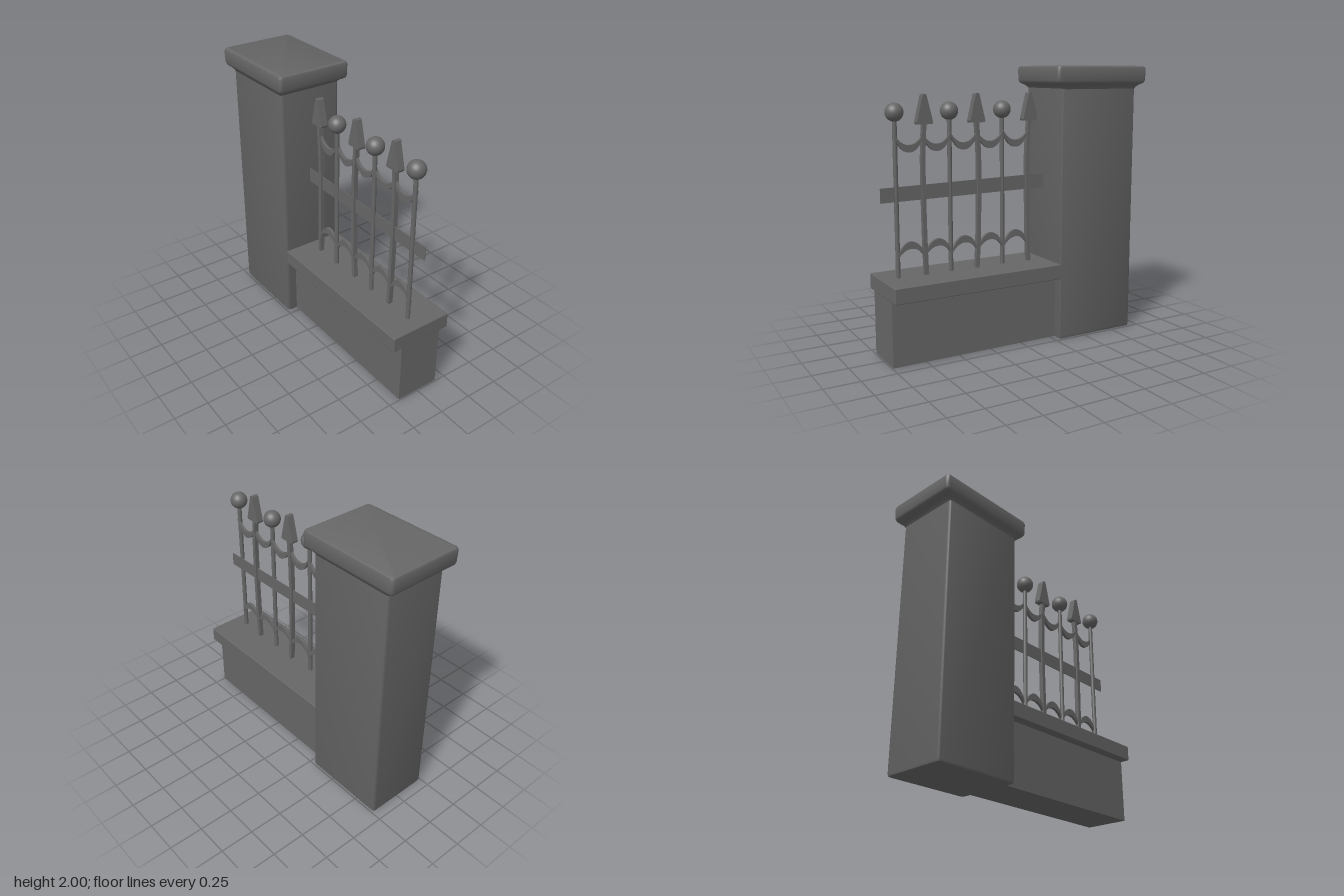
import * as THREE from 'three';
import { toCreasedNormals } from 'three/addons/utils/BufferGeometryUtils.js';
import { RoundedBoxGeometry } from 'three/addons/geometries/RoundedBoxGeometry.js';

const stone = new THREE.MeshStandardMaterial({ color: 0x666666 });
stone.name = 'darkGrey';

function add(parent, name, geometry, x = 0, y = 0, z = 0) {
  const mesh = new THREE.Mesh(geometry, stone);
  mesh.name = name;
  mesh.position.set(x, y, z);
  parent.add(mesh);
  return mesh;
}

// Stacks rounded rectangles; each section is [y, halfWidth, halfDepth, cornerRadius]
function loft(sections) {
  const steps = 4, pos = [], index = [];
  const n = 4 * (steps + 1);
  for (const [y, w, d, r] of sections) {
    for (let c = 0; c < 4; c++) {
      const sx = c === 0 || c === 3 ? 1 : -1, sz = c < 2 ? 1 : -1;
      for (let s = 0; s <= steps; s++) {
        const a = (c + s / steps) * Math.PI / 2;
        pos.push(sx * (w - r) + r * Math.cos(a), y, sz * (d - r) + r * Math.sin(a));
      }
    }
  }
  const last = sections.length - 1;
  for (let i = 0; i < last; i++) {
    for (let j = 0; j < n; j++) {
      const k = (j + 1) % n, a = i * n, b = a + n;
      index.push(a + j, b + j, a + k, a + k, b + j, b + k);
    }
  }
  for (let j = 1; j < n - 1; j++) {
    index.push(0, j, j + 1, last * n, last * n + j + 1, last * n + j);
  }
  const g = new THREE.BufferGeometry();
  g.setAttribute('position', new THREE.Float32BufferAttribute(pos, 3));
  g.setIndex(index);
  return toCreasedNormals(g, 0.7);
}

// Flat outline given a depth, centred on z = 0
function plate(points, depth) {
  const shape = new THREE.Shape(points.map(([x, y]) => new THREE.Vector2(x, y)));
  const g = new THREE.ExtrudeGeometry(shape, { depth, bevelEnabled: false });
  g.translate(0, 0, -depth / 2);
  return toCreasedNormals(g, 0.5);
}

// Scroll strap between two bars: sagging (dir = -1) or arched (dir = 1)
function strap(dir) {
  const outer = [], inner = [];
  for (let i = 0; i <= 14; i++) {
    const t = -1 + i / 7, curve = Math.sqrt(1 - 0.72 * t * t);
    outer.push([t * 0.103, dir * (-0.11 + 0.225 * (curve - 0.51))]);
    inner.push([t * 0.103, dir * (-0.125 + 0.16 * (curve - 0.53))]);
  }
  return plate([...outer, ...inner.reverse()], 0.022);
}

// Gently bowed bar running from the coping to the spear head
function bowedBar(bottom, middle, top) {
  const curve = new THREE.SplineCurve([
    new THREE.Vector2(bottom, 0.56), new THREE.Vector2(bottom + (middle - bottom) * 0.6, 0.76),
    new THREE.Vector2(middle, 1.1), new THREE.Vector2(middle, 1.38),
    new THREE.Vector2(top, 1.62),
  ]);
  const pts = curve.getPoints(16), w = 0.014;
  return plate([
    ...pts.map(p => [p.x + w, p.y]),
    ...pts.reverse().map(p => [p.x - w, p.y]),
  ], 0.034);
}

export function createModel() {
  const model = new THREE.Group();
  model.name = 'fenceSection';

  // Stone pillar with softened edges
  add(model, 'pillar', loft([
    [0, 0.308, 0.226, 0.015], [0.005, 0.318, 0.236, 0.02], [0.018, 0.322, 0.24, 0.02],
    [1.86, 0.322, 0.24, 0.02],
  ]), -0.607);

  // Overhanging cap with a flared underside
  add(model, 'pillarCap', loft([
    [1.835, 0.322, 0.24, 0.02], [1.85, 0.331, 0.247, 0.02], [1.863, 0.35, 0.26, 0.022],
    [1.871, 0.368, 0.27, 0.025], [1.88, 0.381, 0.279, 0.025], [1.895, 0.387, 0.284, 0.025],
    [1.975, 0.39, 0.286, 0.025], [1.992, 0.385, 0.281, 0.025], [2, 0.372, 0.268, 0.02],
  ]), -0.61);

  // Low wall and its coping
  add(model, 'lowWall', new THREE.BoxGeometry(1.325, 0.47, 0.33), 0.3325, 0.24, 0);
  add(model, 'coping', new RoundedBoxGeometry(1.3, 0.11, 0.472, 2, 0.006), 0.348, 0.515, 0);

  // Iron railing
  const railing = new THREE.Group();
  railing.name = 'railing';
  railing.position.z = 0.01;
  model.add(railing);

  add(railing, 'middleRail', plate([[-0.3, 1.112], [0.99, 1.095], [0.99, 1.195], [-0.3, 1.217]], 0.006));

  // Spear bars
  const spears = [[-0.155, -0.142, -0.158], [0.275, 0.256, 0.27], [0.668, 0.68, 0.668]];
  for (const [bottom, middle, top] of spears) {
    add(railing, 'spearBar', bowedBar(bottom, middle, top));
    add(railing, 'spearHead', plate([
      [-0.054, 1.61], [0.054, 1.61], [0.059, 1.623], [0.014, 1.805], [0.007, 1.812],
      [-0.007, 1.812], [-0.014, 1.805], [-0.059, 1.623],
    ], 0.052), top);
  }

  // Ball-topped bars
  for (const x of [0.06, 0.475, 0.874]) {
    add(railing, 'ballBar', new THREE.CylinderGeometry(0.016, 0.016, 1.09, 12), x, 1.105, 0.008);
    add(railing, 'ball', new THREE.SphereGeometry(0.063, 24, 16), x, 1.695, 0.008);
  }

  // Scroll straps above and below
  for (const x of [-0.045, 0.163, 0.37, 0.575, 0.778]) {
    add(railing, 'upperStrap', strap(-1), x, 1.425, 0);
    add(railing, 'lowerStrap', strap(1), x, 0.815, 0);
  }

  return model;
}
